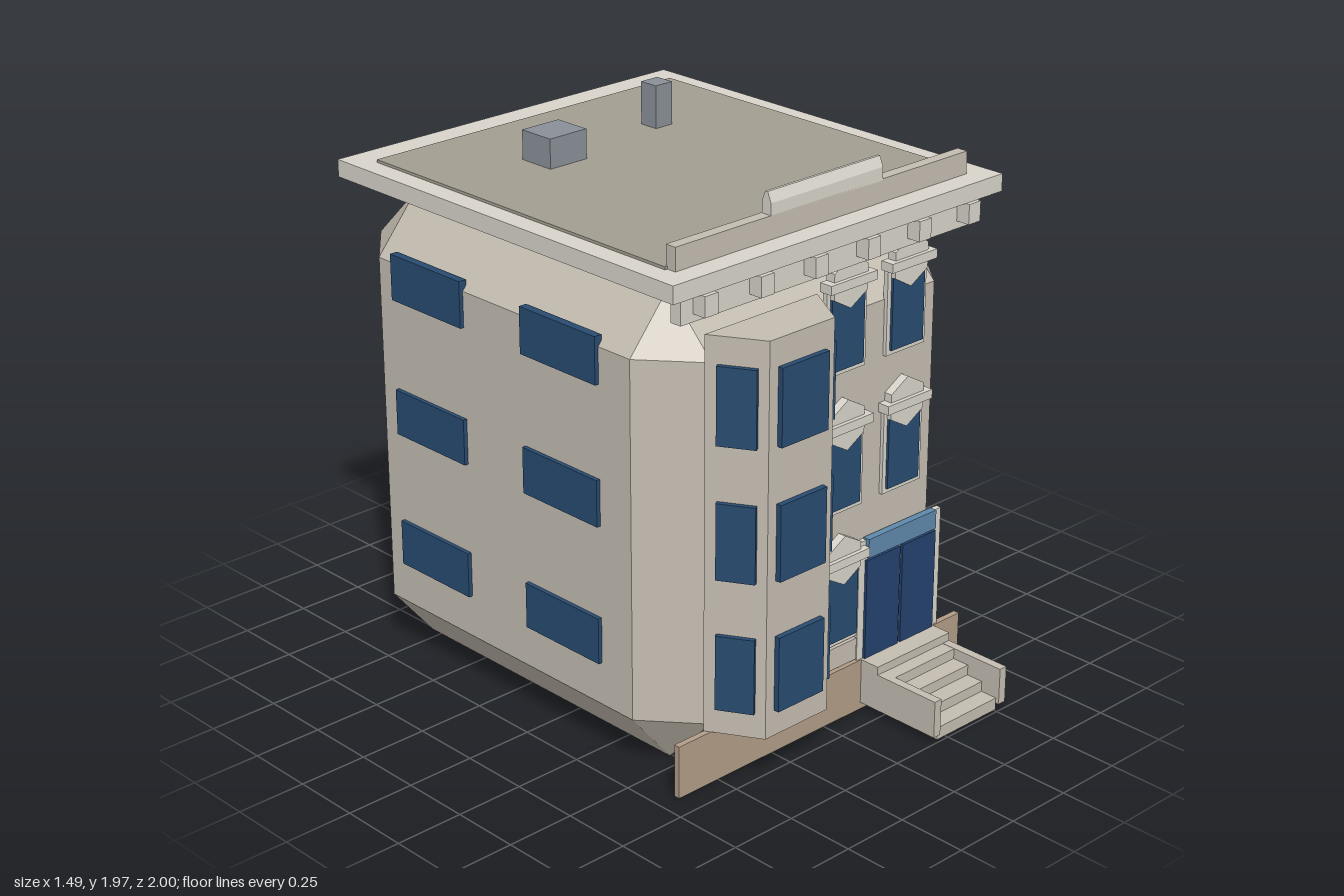
import * as THREE from 'three';
import { ConvexGeometry } from 'three/addons/geometries/ConvexGeometry.js';

const paint = (color) => new THREE.MeshStandardMaterial({ color, flatShading: true });

export function createModel() {
  const house = new THREE.Group();
  house.name = 'townhouse';

  const stone = paint(0xc4bdb1), trim = paint(0xd8d4cb), brown = paint(0xb39d89);
  const glass = paint(0x284b70), doorBlue = paint(0x24426e), paleBlue = paint(0x6088ac);
  const deckGrey = paint(0xa39e91), metal = paint(0x8a9098);

  const add = (name, geometry, material, parent = house) => {
    const mesh = new THREE.Mesh(geometry, material);
    mesh.name = name;
    parent.add(mesh);
    return mesh;
  };
  // Box given by its limits on each axis
  const box = (name, material, [x0, x1], [y0, y1], [z0, z1], parent) => {
    const mesh = add(name, new THREE.BoxGeometry(x1 - x0, y1 - y0, z1 - z0), material, parent);
    mesh.position.set((x0 + x1) / 2, (y0 + y1) / 2, (z0 + z1) / 2);
    return mesh;
  };

  // Main block: chamfered box, the hull of its six inset faces
  const outer = { x: [-0.675, 0.675], y: [0, 1.665], z: [-1, 0.64] };
  const inner = { x: [-0.51, 0.51], y: [0.2, 1.47], z: [-0.8, 0.445] };
  const hull = [];
  for (const i of [0, 1]) for (const j of [0, 1]) for (const k of [0, 1]) {
    hull.push(new THREE.Vector3(outer.x[i], inner.y[j], inner.z[k]));
    hull.push(new THREE.Vector3(inner.x[i], outer.y[j], inner.z[k]));
    hull.push(new THREE.Vector3(inner.x[i], inner.y[j], outer.z[k]));
  }
  add('mainBlock', new ConvexGeometry(hull), stone);
  box('plinth', brown, [-0.675, 0.675], [0, 0.19], [0.642, 0.664]);

  // Side windows
  for (const side of [-1, 1]) for (const y of [0.437, 0.932, 1.425]) for (const z of [0.12, -0.54]) {
    const pane = add('sideWindow', new THREE.BoxGeometry(0.03, 0.165, 0.36), glass);
    pane.position.set(side * 0.675, y, z);
  }

  // Bay with three window faces
  const bay = new THREE.Group();
  bay.name = 'bay';
  house.add(bay);
  const plan = new THREE.Shape([
    new THREE.Vector2(-0.545, -0.642), new THREE.Vector2(-0.44, -0.82),
    new THREE.Vector2(-0.155, -0.82), new THREE.Vector2(-0.05, -0.642),
  ]);
  const bayGeometry = new THREE.ExtrudeGeometry(plan, { depth: 1.385, bevelEnabled: false });
  bayGeometry.rotateX(-Math.PI / 2);
  add('bayWall', bayGeometry, stone, bay).position.y = 0.19;
  for (const y of [0.417, 0.883, 1.347]) {
    box('bayFrontWindow', glass, [-0.402, -0.195], [y - 0.134, y + 0.134], [0.81, 0.84], bay);
    for (const side of [-1, 1]) {
      const pane = add('baySideWindow', new THREE.BoxGeometry(0.13, 0.268, 0.03), glass, bay);
      pane.position.set(-0.2975 + side * 0.195, y, 0.735);
      pane.rotation.y = side * Math.atan2(0.178, 0.105);
    }
  }

  // Facade windows: frame, pane, lintel and hexagonal ornament
  const facadeWindow = (x, lintelY) => {
    const g = new THREE.Group();
    g.name = 'facadeWindow';
    g.position.set(x, lintelY, 0);
    house.add(g);
    box('frame', trim, [-0.093, 0.093], [-0.317, 0], [0.635, 0.653], g);
    box('pane', glass, [-0.076, 0.076], [-0.3, -0.02], [0.64, 0.662], g);
    box('lintel', trim, [-0.107, 0.107], [-0.016, 0.016], [0.635, 0.685], g);
    const hexagon = new THREE.CylinderGeometry(0.09, 0.09, 0.035, 6).rotateX(Math.PI / 2);
    add('ornament', hexagon, trim, g).position.z = 0.653;
  };
  for (const [x, y] of [[0.077, 0.602], [0.077, 1.092], [0.077, 1.59], [0.362, 1.092], [0.362, 1.59]]) {
    facadeWindow(x, y);
  }
  box('panelUnderWindow', stone, [-0.016, 0.155], [0.2, 0.28], [0.635, 0.66]);

  // Entrance
  box('doorSurround', trim, [0.16, 0.565], [0.19, 0.633], [0.638, 0.658]);
  box('leftDoor', doorBlue, [0.366, 0.532], [0.19, 0.56], [0.645, 0.668]);
  box('rightDoor', doorBlue, [0.19, 0.354], [0.19, 0.56], [0.645, 0.668]);
  box('transom', paleBlue, [0.193, 0.527], [0.57, 0.64], [0.645, 0.672]);

  // Stoop
  const stoop = new THREE.Group();
  stoop.name = 'stoop';
  house.add(stoop);
  box('landing', stone, [0.178, 0.54], [0.155, 0.19], [0.645, 0.74], stoop);
  for (const x of [0.178, 0.508]) box('stoopWall', stone, [x, x + 0.032], [0.025, 0.16], [0.66, 1], stoop);
  for (let i = 0; i < 4; i++) {
    const y = i * 0.038, front = 0.987 - i * 0.065;
    box('step', stone, [0.21, 0.508], [y, y + 0.045], [front - 0.085, front], stoop);
  }

  // Cornice with brackets
  box('frieze', trim, [-0.68, 0.675], [1.648, 1.745], [0.635, 0.678]);
  for (let i = 0; i < 6; i++) {
    const x = -0.6 + i * 0.239;
    box('bracket', trim, [x - 0.028, x + 0.028], [1.675, 1.745], [0.67, 0.73]);
  }

  // Roof
  box('roofSlab', trim, [-0.745, 0.745], [1.745, 1.806], [-0.91, 0.715]);
  box('roofDeck', deckGrey, [-0.67, 0.667], [1.8, 1.816], [-0.795, 0.6]);
  box('parapet', stone, [-0.66, 0.656], [1.8, 1.885], [0.594, 0.635]);
  const crest = new THREE.Shape([
    new THREE.Vector2(-0.635, 1.88), new THREE.Vector2(-0.595, 1.88), new THREE.Vector2(-0.595, 1.925),
    new THREE.Vector2(-0.61, 1.96), new THREE.Vector2(-0.62, 1.96), new THREE.Vector2(-0.635, 1.925),
  ]);
  const crestGeometry = new THREE.ExtrudeGeometry(crest, { depth: 0.505, bevelEnabled: false });
  crestGeometry.rotateY(Math.PI / 2);
  add('parapetCrest', crestGeometry, trim).position.x = -0.255;
  box('roofVent', metal, [-0.32, -0.16], [1.81, 1.92], [-0.46, -0.32]);
  box('chimney', metal, [0.226, 0.302], [1.81, 1.968], [-0.47, -0.396]);

  return house;
}
